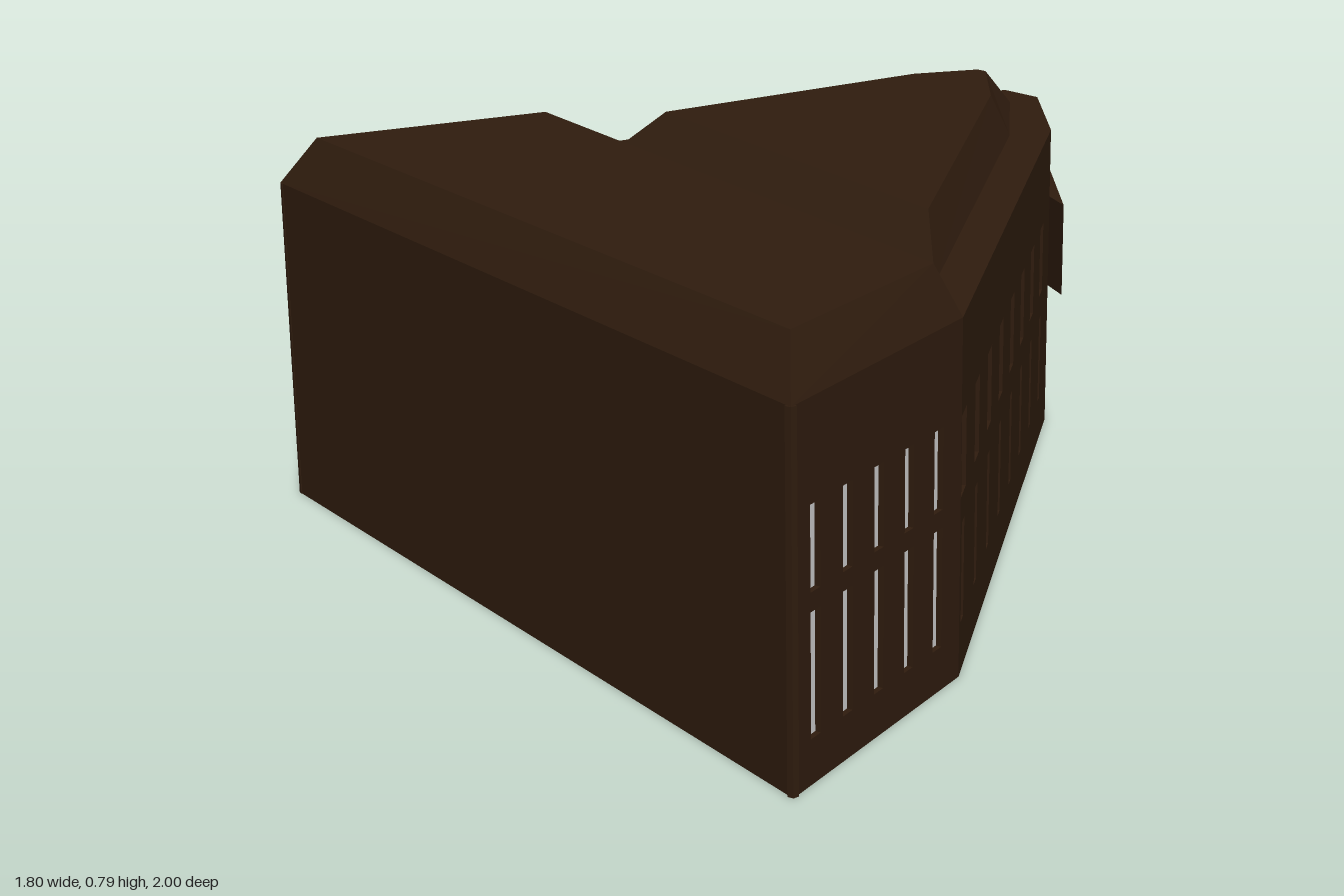
import * as THREE from 'three';

const brick = new THREE.MeshStandardMaterial({ color: 0x2f1c0e, flatShading: true, side: THREE.DoubleSide });
const glass = new THREE.MeshStandardMaterial({ color: 0xcccccc });
const EAVE = 0.69, REVEAL = 0.012;

const toShape = ring => new THREE.Shape(ring.map(([x, z]) => new THREE.Vector2(x, -z)));

function mesh(name, geometry, material = brick) {
  const m = new THREE.Mesh(geometry, material);
  m.name = name;
  return m;
}

// Flat polygon lying at height y
function slab(name, ring, y) {
  return mesh(name, new THREE.ShapeGeometry(toShape(ring)).rotateX(-Math.PI / 2).translate(0, y, 0));
}

// Closed solid between two [x, z] rings with the same number of corners
function loft(name, low, y0, high, y1) {
  const n = low.length, pos = [], index = [];
  low.forEach(([x, z]) => pos.push(x, y0, z));
  high.forEach(([x, z]) => pos.push(x, y1, z));
  for (let i = 0; i < n; i++) {
    const j = (i + 1) % n;
    index.push(i, j, n + j, i, n + j, n + i);
  }
  const cap = ring => THREE.ShapeUtils.triangulateShape(ring.map(([x, z]) => new THREE.Vector2(x, -z)), []);
  cap(low).forEach(([a, b, c]) => index.push(a, c, b));
  cap(high).forEach(([a, b, c]) => index.push(n + a, n + b, n + c));
  const g = new THREE.BufferGeometry();
  g.setAttribute('position', new THREE.Float32BufferAttribute(pos, 3));
  g.setIndex(index);
  const flat = g.toNonIndexed();
  flat.computeVertexNormals();
  return mesh(name, flat);
}

// Wall from corner a to corner b, with rows of recessed windows
function wall(name, a, b, rows = []) {
  const dx = b[0] - a[0], dz = b[1] - a[1], length = Math.hypot(dx, dz);
  const group = new THREE.Group();
  group.name = name;
  const shape = new THREE.Shape([[0, 0], [length, 0], [length, EAVE], [0, EAVE]].map(p => new THREE.Vector2(...p)));
  for (const { count, from, to, width, y0, y1 } of rows) {
    for (let i = 0; i < count; i++) {
      const x = length * (from + (to - from) * i / (count - 1)), w = width / 2;
      shape.holes.push(new THREE.Path([[x - w, y0], [x - w, y1], [x + w, y1], [x + w, y0]].map(p => new THREE.Vector2(...p))));
      const pane = mesh('windowPane', new THREE.PlaneGeometry(width, y1 - y0), glass);
      pane.position.set(x, (y0 + y1) / 2, -REVEAL + 0.001);
      group.add(pane);
    }
  }
  const panel = new THREE.ExtrudeGeometry(shape, { depth: REVEAL, bevelEnabled: false }).translate(0, 0, -REVEAL);
  group.add(mesh('wallPanel', panel));
  group.position.set(a[0], 0, a[1]);
  group.rotation.y = Math.atan2(-dz, dx);
  return group;
}

// Upper and lower window rows sharing the same spacing
const twoRows = (count, from, to, upper, lower, y0, y1) => [
  { count, from, to, width: upper, y0: 0.35, y1: 0.505 },
  { count, from, to, width: lower, y0, y1 },
];

export function createModel() {
  const model = new THREE.Group();
  model.name = 'wedgeBuilding';

  // Footprint, counter-clockwise from the front right corner
  const outline = [
    [-0.9, 0.78], [0.9, 1], [0.755, 0.45], [-0.1, -0.735],
    [-0.35, -0.965], [-0.455, -0.968], [-0.585, -0.73], [-0.72, 0.19],
  ];
  const slits = [{ count: 10, from: 0.09, to: 0.93, width: 0.015, y0: 0.1, y1: 0.295 }];
  const walls = [
    ['frontWall', []],
    ['leftFrontWall', twoRows(5, 0.127, 0.855, 0.031, 0.031, 0.085, 0.315)],
    ['leftLongWall', twoRows(8, 0.025, 0.895, 0.062, 0.033, 0.1, 0.295)],
    ['leftNoseWall', slits],
    ['noseWall', []],
    ['rightNoseWall', slits],
    ['rightLongWall', twoRows(6, 0.08, 0.94, 0.055, 0.033, 0.1, 0.295)],
    ['rightFrontWall', twoRows(5, 0.14, 0.88, 0.031, 0.031, 0.085, 0.315)],
  ];
  walls.forEach(([name, rows], i) => model.add(wall(name, outline[i], outline[(i + 1) % outline.length], rows)));
  model.add(slab('floor', outline, 0), slab('eaveDeck', outline, EAVE));

  // Hipped roof over the front block
  model.add(loft('frontRoof',
    [outline[0], outline[1], outline[2], outline[7]], EAVE,
    [[-0.83, 0.73], [0.83, 0.935], [0.72, 0.49], [-0.69, 0.24]], 0.79));

  // Raised roof over the rear wedge
  model.add(loft('rearRoof',
    [[-0.625, 0.115], [0.57, 0.33], [-0.13, -0.63], [-0.36, -0.88], [-0.4, -0.88], [-0.51, -0.68]], EAVE,
    [[-0.56, 0.01], [0.415, 0.19], [-0.18, -0.62], [-0.365, -0.8], [-0.39, -0.8], [-0.46, -0.66]], 0.775));

  // Projecting band wrapped around the nose
  const band = [
    [-0.026, -0.7], [-0.34, -0.99], [-0.476, -1], [-0.635, -0.7],
    [-0.585, -0.73], [-0.455, -0.968], [-0.35, -0.965], [-0.1, -0.735],
  ];
  model.add(loft('noseBand', band, 0.325, band, 0.535));

  // Low door panel on the nose
  const door = mesh('noseDoor', new THREE.BoxGeometry(0.085, 0.072, 0.006), glass);
  door.position.set(-0.4025, 0.037, -0.967);
  door.rotation.y = Math.PI - 0.029;
  model.add(door);
  return model;
}
